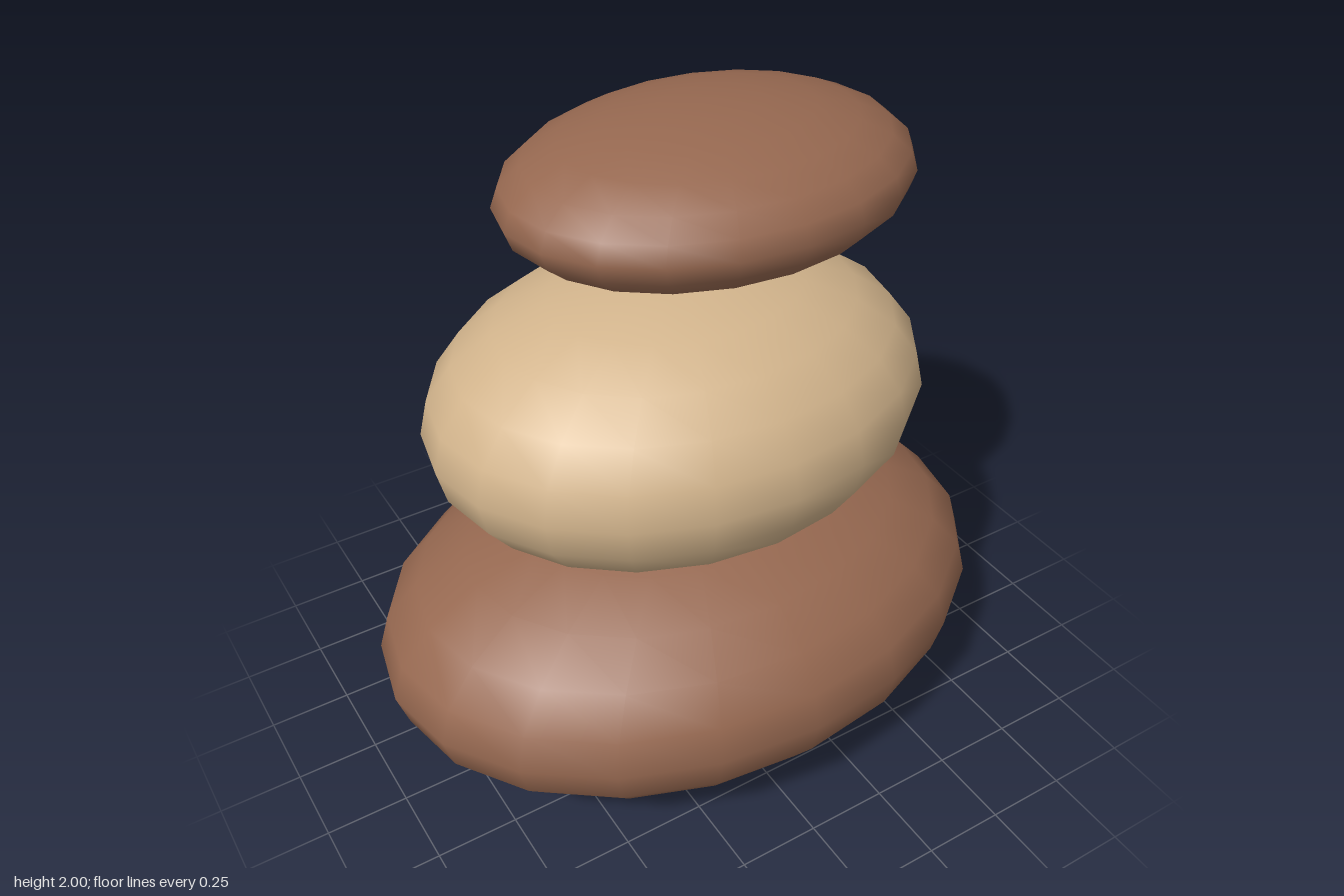
import * as THREE from 'three';

export function createModel() {
  const brown = new THREE.MeshStandardMaterial({ color: 0x966850 });
  brown.name = 'brown stone';
  const tan = new THREE.MeshStandardMaterial({ color: 0xd2b48c });
  tan.name = 'tan stone';

  // Three smooth, flattened pebbles stacked off-centre
  const stones = [
    { name: 'bottomStone', material: brown, radii: [0.98, 0.429, 0.735], position: [0, 0.429, 0] },
    { name: 'middleStone', material: tan, radii: [0.735, 0.398, 0.582], position: [-0.061, 1.235, 0.073] },
    { name: 'topStone', material: brown, radii: [0.612, 0.214, 0.459], position: [0.122, 1.786, -0.061] },
  ];

  const model = new THREE.Group();
  model.name = 'stackedStones';
  for (const { name, material, radii, position } of stones) {
    const geometry = new THREE.SphereGeometry(1, 20, 12).scale(...radii);
    const stone = new THREE.Mesh(geometry, material);
    stone.name = name;
    stone.position.set(...position);
    model.add(stone);
  }
  return model;
}
